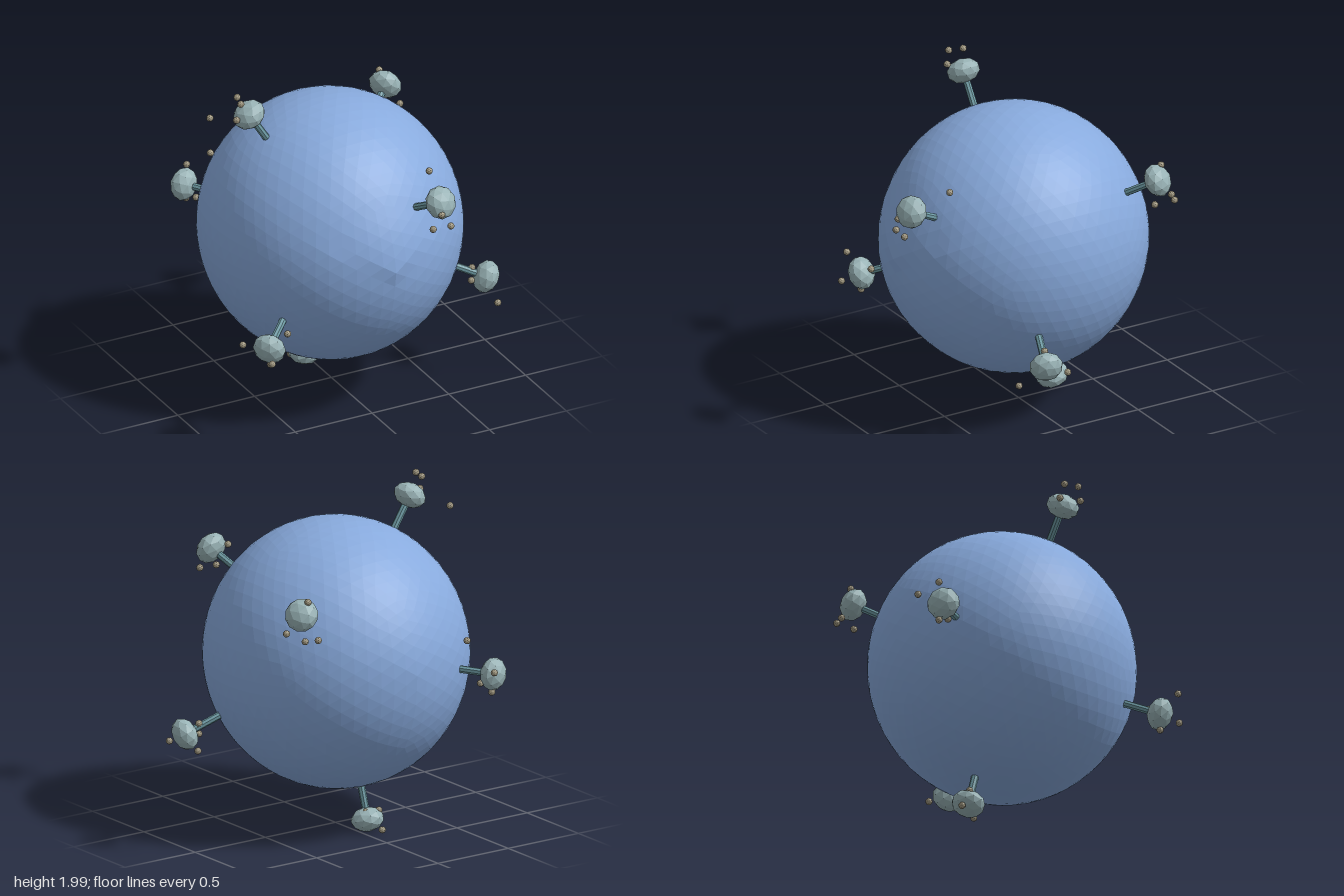
import * as THREE from 'three';

const CENTER = new THREE.Vector3(-0.02, 1.03, 0.02);
const UP = new THREE.Vector3(0, 1, 0);
const material = (color) => new THREE.MeshStandardMaterial({ color, flatShading: true });

// Faceted globe with a pointed bump and a small V-shaped ledge at front and back
function makePlanet(mat) {
  const geo = new THREE.IcosahedronGeometry(1, 10);
  const pos = geo.attributes.position;
  const v = new THREE.Vector3();
  for (let i = 0; i < pos.count; i++) {
    v.fromBufferAttribute(pos, i).normalize();
    const angle = Math.acos(Math.min(1, Math.abs(v.z)));
    const aboveLedge = v.y > 0.6 * Math.abs(v.x);
    const peak = v.z > 0 ? 0.05 : 0.015;
    const width = aboveLedge ? 0.5 : 0.75;
    const bump = Math.max(0, 1 - angle / width) * peak * (aboveLedge ? 1 : 0.55);
    const k = 1 + bump;
    pos.setXYZ(i, v.x * 0.768 * k, v.y * 0.795 * k, v.z * 0.782 * k);
  }
  geo.computeVertexNormals();
  const planet = new THREE.Mesh(geo, mat);
  planet.name = 'planet';
  planet.position.copy(CENTER);
  return planet;
}

// Each tree: centre of its crown, then the berries floating round it
const TREES = [
  { crown: [-0.555, 1.87, 0.035], berries: [[-0.725, 1.815, -0.125], [-0.614, 1.98, 0], [-0.635, 1.98, 0.085], [-0.66, 1.88, 0.08]] },
  { crown: [0.248, 1.49, 0.875], berries: [[0.295, 1.577, 0.645], [0.217, 1.45, 0.945], [0.17, 1.36, 0.93], [0.28, 1.36, 0.94]] },
  { crown: [0.64, 1.505, -0.545], berries: [[0.62, 1.587, -0.58], [0.68, 1.375, -0.635], [0.605, 1.375, -0.66], [0.705, 1.39, -0.487]] },
  { crown: [-0.73, 0.66, 0.615], berries: [[-0.9, 0.725, 0.61], [-0.614, 0.73, 0.62], [-0.77, 0.62, 0.725], [-0.725, 0.56, 0.62]] },
  { crown: [0.836, 0.61, 0.325], berries: [[0.762, 0.67, 0.29], [0.747, 0.6, 0.31], [0.82, 0.524, 0.498], [0.845, 0.545, 0.185]] },
  { crown: [-0.045, 0.082, -0.25], berries: [[-0.09, 0.03, -0.333], [-0.1, 0.135, -0.285], [-0.02, 0.135, -0.27], [-0.04, 0.04, -0.24]] },
  { crown: [-0.522, 1.012, -0.825], berries: [[-0.39, 1.217, -0.75], [-0.44, 1.063, -0.947], [-0.5, 0.91, -0.84], [-0.48, 0.947, -0.757]] },
];

export function createModel() {
  const group = new THREE.Group();
  group.name = 'treePlanet';
  const planetMat = material(0x88aadd);
  const crownMat = material(0x99b3b6);
  const trunkMat = material(0x6f9ca5);
  const berryMat = material(0xa39a82);

  group.add(makePlanet(planetMat));

  const crownGeo = new THREE.IcosahedronGeometry(0.098, 1).scale(1, 0.74, 1);
  const trunkGeo = new THREE.CylinderGeometry(0.022, 0.022, 0.24, 8);
  const berryGeo = new THREE.IcosahedronGeometry(0.021, 1);

  for (const { crown, berries } of TREES) {
    const tree = new THREE.Group();
    tree.name = 'tree';
    const tip = new THREE.Vector3(...crown);
    const outward = tip.clone().sub(CENTER).normalize();

    // Trunk and crown point away from the planet's centre
    const stand = new THREE.Group();
    stand.name = 'trunkAndCrown';
    stand.position.copy(tip);
    stand.quaternion.setFromUnitVectors(UP, outward);
    const top = new THREE.Mesh(crownGeo, crownMat);
    top.name = 'crown';
    const trunk = new THREE.Mesh(trunkGeo, trunkMat);
    trunk.name = 'trunk';
    trunk.position.y = -0.12;
    stand.add(top, trunk);
    tree.add(stand);

    for (const p of berries) {
      const berry = new THREE.Mesh(berryGeo, berryMat);
      berry.name = 'berry';
      berry.position.set(...p);
      tree.add(berry);
    }
    group.add(tree);
  }
  return group;
}
